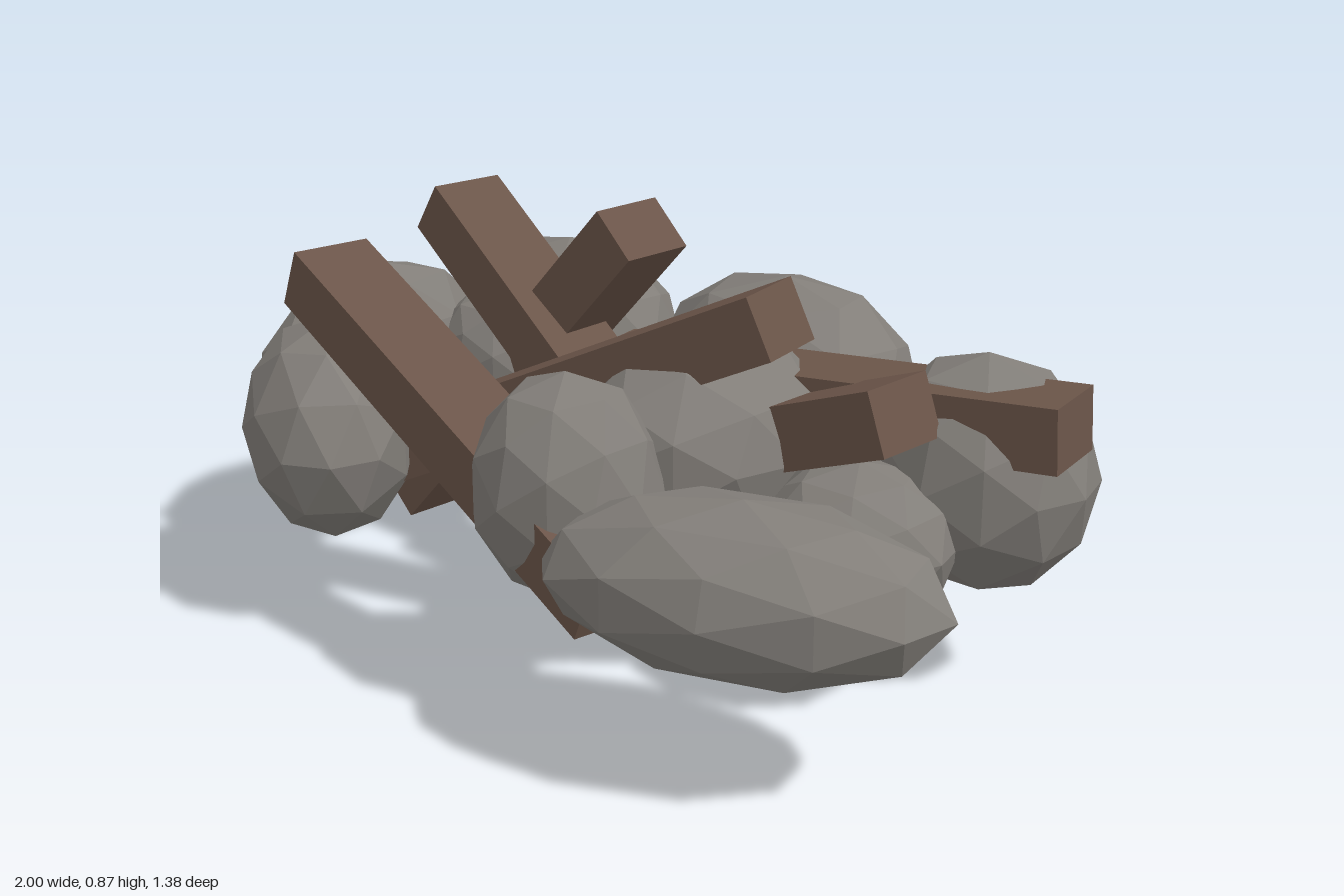
import * as THREE from 'three';

// A heap of crossed timber beams among a rough ring of low-poly boulders.
export function createModel() {
  const model = new THREE.Group();
  model.name = 'rubblePile';

  const stoneGrey = new THREE.MeshStandardMaterial({ color: 0x827e79, flatShading: true });
  stoneGrey.name = 'stoneGrey';
  const woodBrown = new THREE.MeshStandardMaterial({ color: 0x6b5549, flatShading: true });
  woodBrown.name = 'woodBrown';

  // Boulder: faceted ball given by centre, radii and rotation
  const boulder = (name, centre, radii, rotation = [0, 0, 0]) => {
    const mesh = new THREE.Mesh(new THREE.IcosahedronGeometry(1, 1), stoneGrey);
    mesh.name = name;
    mesh.position.set(...centre);
    mesh.scale.set(...radii);
    mesh.rotation.set(...rotation);
    model.add(mesh);
  };

  // Beam: square-cut timber between the centres of its two ends, wide side level
  const beam = (name, from, to, height = 0.13, width = 0.175) => {
    const a = new THREE.Vector3(...from);
    const b = new THREE.Vector3(...to);
    const along = b.clone().sub(a);
    const length = along.length();
    along.normalize();
    const side = along.clone().cross(new THREE.Vector3(0, 1, 0)).normalize();
    const up = side.clone().cross(along);
    const mesh = new THREE.Mesh(new THREE.BoxGeometry(length, height, width), woodBrown);
    mesh.name = name;
    mesh.quaternion.setFromRotationMatrix(new THREE.Matrix4().makeBasis(along, up, side));
    mesh.position.copy(a).add(b).multiplyScalar(0.5);
    model.add(mesh);
  };

  // Outer boulders
  boulder('backRightBoulder', [-0.63, 0.46, -0.375], [0.31, 0.2, 0.22], [0, -0.12, 0]);
  boulder('backBoulder', [0.02, 0.46, -0.39], [0.345, 0.225, 0.26], [0, -0.2, 0]);
  boulder('backLeftBoulder', [0.35, 0.375, -0.42], [0.27, 0.165, 0.3], [-0.45, 0, 0]);
  boulder('leftBoulder', [0.685, 0.45, -0.2], [0.235, 0.245, 0.215]);
  boulder('frontLeftBoulder', [0.625, 0.395, 0.46], [0.4, 0.168, 0.22], [0, 0.33, 0]);
  boulder('frontBoulder', [0.175, 0.47, 0.45], [0.195, 0.23, 0.185]);
  boulder('frontRightBoulder', [-0.57, 0.41, 0.415], [0.285, 0.235, 0.19], [0, -0.7, 0]);
  boulder('rightBoulder', [-0.805, 0.415, 0.08], [0.195, 0.245, 0.335], [0, 0.1, 0]);

  // Inner boulders
  boulder('middleBoulder', [0.215, 0.49, 0.095], [0.25, 0.22, 0.29]);
  boulder('lowBoulder', [0.11, 0.355, 0.14], [0.3, 0.15, 0.2]);
  boulder('lowLeftBoulder', [0.57, 0.35, 0.05], [0.2, 0.16, 0.2]);
  boulder('smallBoulder', [-0.58, 0.43, -0.09], [0.18, 0.17, 0.13]);

  // Crossed beams
  beam('standingBeam', [-0.877, 0.045, -0.11], [-0.13, 0.82, -0.09]);
  beam('frontBeam', [-0.565, 0.75, 0.415], [0.4, 0.325, 0.54]);
  beam('middleBeam', [-0.5, 0.34, 0.3], [0.425, 0.78, 0.12]);
  beam('leftBeam', [-0.11, 0.54, 0.02], [0.905, 0.595, -0.17]);
  beam('lowBeam', [-0.45, 0.22, 0.03], [0.675, 0.63, 0.055]);
  beam('rightBeam', [-0.695, 0.79, -0.08], [0.03, 0.29, 0.0]);

  return model;
}
